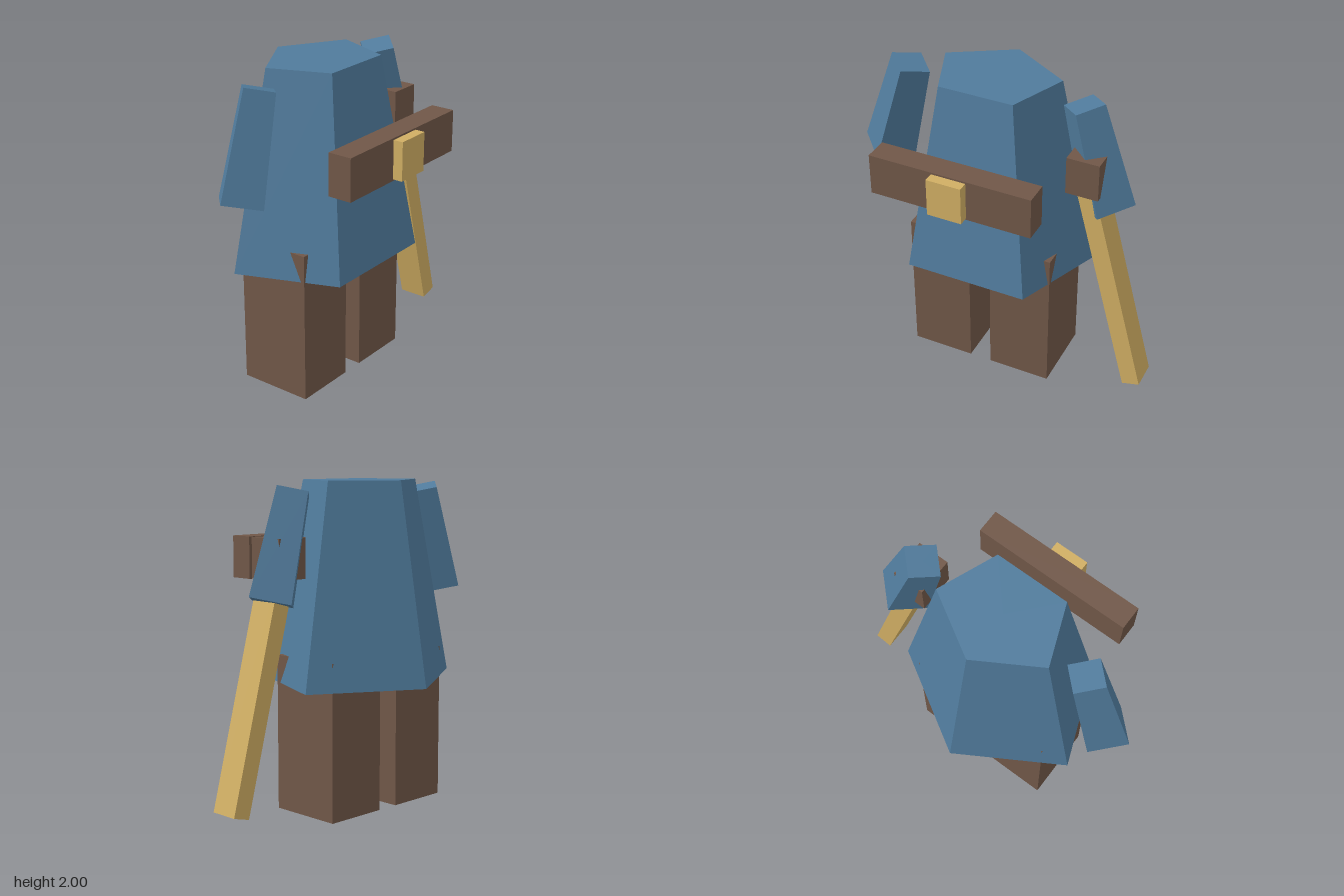
import * as THREE from 'three';

const material = (name, color) => {
  const m = new THREE.MeshStandardMaterial({ color });
  m.name = name;
  return m;
};

// Tapered prism with crisp facets
function prism(topRadius, bottomRadius, height, sides, start = 0) {
  const g = new THREE.CylinderGeometry(topRadius, bottomRadius, height, sides, 1, false, start).toNonIndexed();
  g.computeVertexNormals();
  return g;
}

export function createModel() {
  const blue = material('blue cloth', 0x507b9c);
  const brown = material('brown leather', 0x705748);
  const gold = material('gold', 0xd0ae63);
  const midX = -0.08; // symmetry line of the body

  const model = new THREE.Group();
  model.name = 'robedFigure';

  const add = (name, geometry, mat, x, y, z) => {
    const mesh = new THREE.Mesh(geometry, mat);
    mesh.name = name;
    mesh.position.set(x, y, z);
    model.add(mesh);
    return mesh;
  };
  // Box given by its minimum and maximum corners
  const addBox = (name, mat, [x0, y0, z0], [x1, y1, z1]) =>
    add(name, new THREE.BoxGeometry(x1 - x0, y1 - y0, z1 - z0), mat,
      (x0 + x1) / 2, (y0 + y1) / 2, (z0 + z1) / 2);

  // Five-sided robe with one corner at the back
  const robe = add('robe', prism(0.397, 0.657, 1.215, 5, Math.PI), blue, midX, 1.3925, -0.062);
  robe.scale.z = 0.82;

  // Legs and sleeves, mirrored about the body's middle
  for (const [side, s] of [['left', 1], ['right', -1]]) {
    add(side + 'Leg', new THREE.BoxGeometry(0.402, 0.955, 0.473), brown, midX + s * 0.272, 0.4775, -0.058);
    const sleeve = add(side + 'Sleeve', prism(0.131, 0.176, 0.656, 4), blue, midX + s * 0.643, 1.629, -0.06);
    sleeve.rotation.z = s * 0.27;
    sleeve.scale.z = 0.96;
  }

  // Belt and buckle in front of the robe
  addBox('belt', brown, [-0.59, 1.4, 0.39], [0.425, 1.658, 0.54]);
  addBox('buckle', gold, [-0.19, 1.41, 0.5], [0.026, 1.647, 0.602]);

  // Hand gripping a slanted staff
  addBox('leftHand', brown, [0.445, 1.44, -0.128], [0.648, 1.68, 0.108]);
  const tilt = 0.26, length = 1.5;
  const staff = add('staff', new THREE.BoxGeometry(0.114, length, 0.183), gold,
    0.925 - Math.sin(tilt) * length / 2, 0.1 + Math.cos(tilt) * length / 2, -0.006);
  staff.rotation.z = tilt;

  return model;
}
